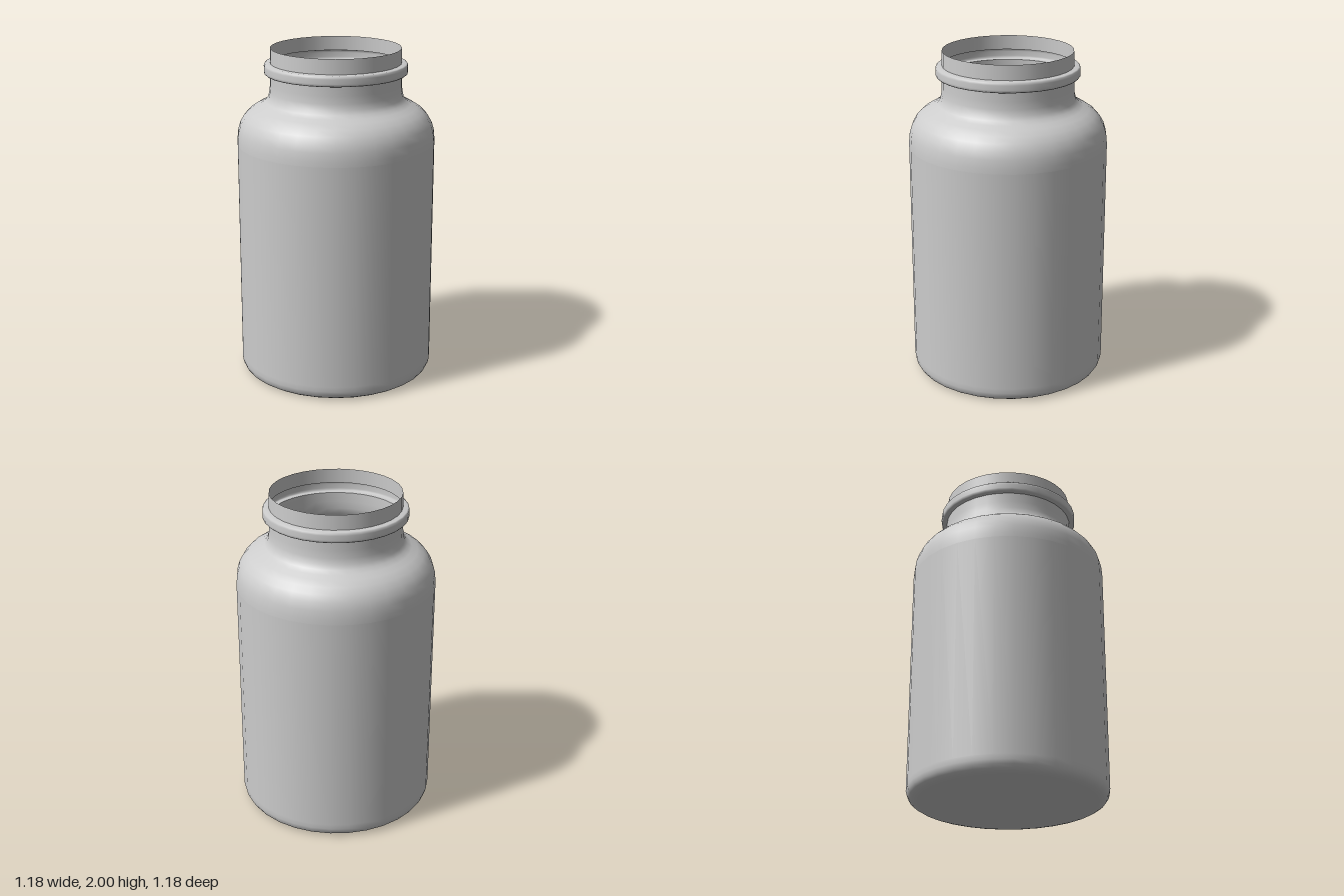
import * as THREE from 'three';

const SIDES = 32;

export function createModel() {
  const group = new THREE.Group();
  group.name = 'jar';
  const grey = new THREE.MeshStandardMaterial({ color: 0xcccccc, side: THREE.DoubleSide });
  grey.name = 'light grey';

  // Each part is one smooth stretch of the profile, turned around the y axis
  const turn = (name, profile) => {
    const points = profile.map(([r, y]) => new THREE.Vector2(r, y));
    const mesh = new THREE.Mesh(new THREE.LatheGeometry(points, SIDES), grey);
    mesh.name = name;
    group.add(mesh);
  };

  // Flat floor
  turn('floor', [[0, 0], [0.53, 0]]);

  // Rounded lower edge
  turn('baseEdge', [
    [0.53, 0], [0.553, 0.005], [0.572, 0.017], [0.584, 0.036], [0.59, 0.06], [0.59, 0.09],
  ]);

  // Straight wall
  turn('body', [[0.59, 0.09], [0.59, 1.43]]);

  // Shoulder curving into the neck
  turn('shoulder', [
    [0.59, 1.43], [0.589, 1.46], [0.584, 1.51], [0.57, 1.555], [0.548, 1.593], [0.518, 1.625],
    [0.48, 1.65], [0.445, 1.667], [0.418, 1.686], [0.401, 1.71], [0.393, 1.745], [0.39, 1.79],
    [0.39, 1.848],
  ]);

  // Hollow ring below the mouth
  turn('neckRing', [
    [0.39, 1.848], [0.418, 1.848], [0.424, 1.854], [0.425, 1.865],
    [0.425, 1.892], [0.423, 1.904], [0.416, 1.91], [0.388, 1.912],
  ]);

  // Thin open mouth
  turn('mouth', [[0.388, 1.912], [0.386, 2]]);

  return group;
}
